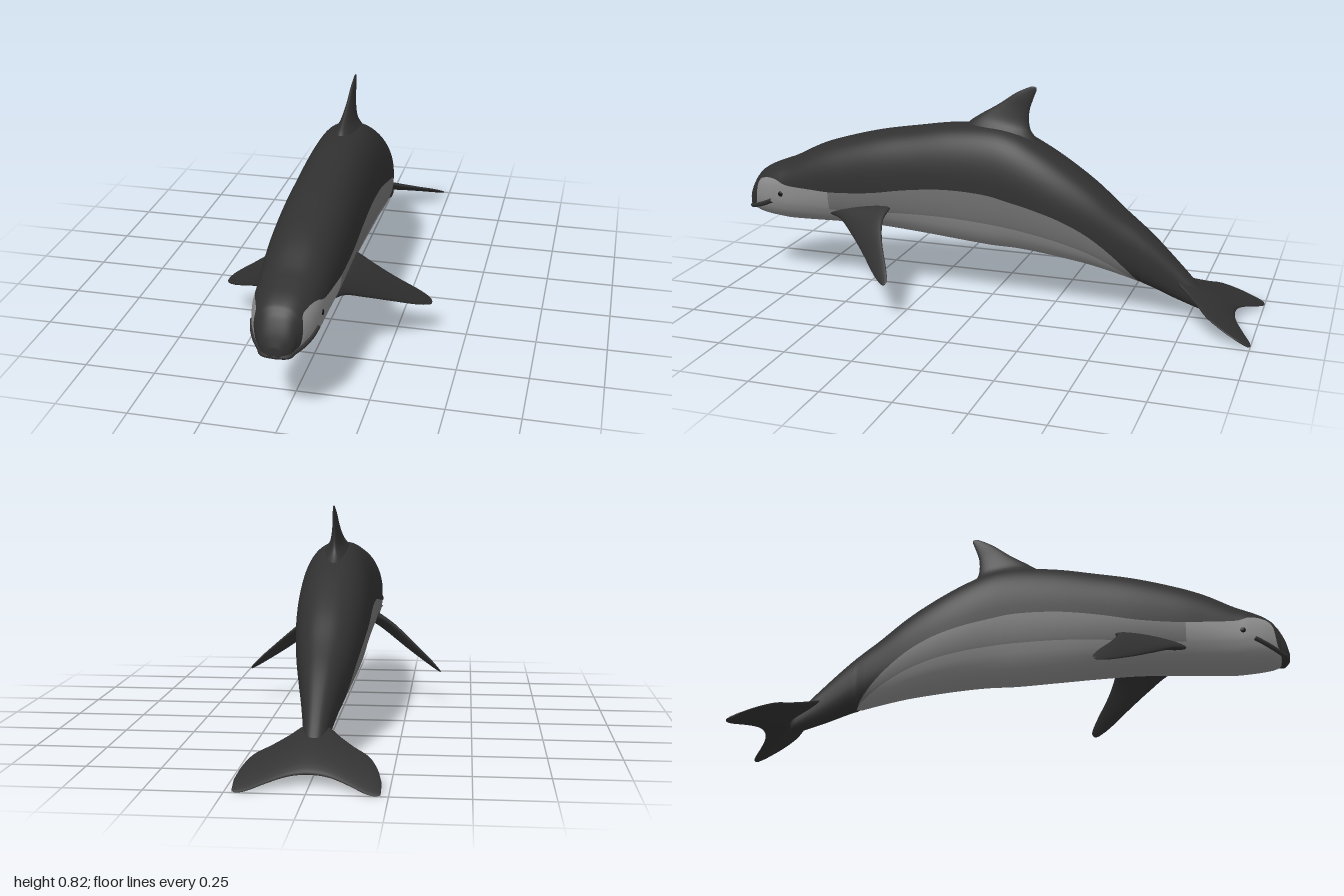
import * as THREE from 'three';
import { mergeVertices } from 'three/addons/utils/BufferGeometryUtils.js';

const V = (x, y, z) => new THREE.Vector3(x, y, z);
const spline = (pts) => new THREE.CatmullRomCurve3(pts, false, 'catmullrom');

// Body stations: z, top, bottom, half width, height of the colour line
const STATIONS = [
  [1, .31, .275, .02, 0], [.985, .355, .265, .05, 0], [.965, .395, .26, .065, .265],
  [.95, .415, .255, .075, .31], [.935, .43, .252, .085, .39], [.9, .45, .248, .1, .412],
  [.85, .47, .243, .11, .412], [.8, .49, .24, .114, .395], [.7, .54, .242, .121, .39],
  [.6, .575, .245, .127, .388], [.45, .615, .245, .13, .4], [.3, .642, .235, .13, .425],
  [.15, .665, .222, .13, .44], [0, .67, .21, .13, .435], [-.1, .652, .208, .13, .415],
  [-.2, .605, .2, .128, .39], [-.3, .545, .187, .12, .355], [-.4, .475, .17, .105, .3],
  [-.5, .39, .145, .085, .215], [-.6, .31, .115, .064, .1], [-.7, .215, .075, .045, 0],
  [-.8, .11, .042, .03, 0], [-.82, .08, .05, .015, 0],
];
const heights = spline(STATIONS.map(([z, top, bot]) => V(z, top, bot)));
const widths = spline(STATIONS.map(([z, , , w, line]) => V(z, w, line)));
const POWER = 2.4; // fullness of the oval section

function station(t) {
  const a = heights.getPoint(t), b = widths.getPoint(t);
  return { z: a.x, mid: (a.y + a.z) / 2, h: (a.y - a.z) / 2, bot: a.z, w: b.y, line: b.z };
}

// Angle down from the top of a section at which the skin reaches height y
function angleAt(s, y) {
  const c = THREE.MathUtils.clamp((y - s.mid) / s.h, -1, 1);
  return Math.acos(Math.sign(c) * Math.abs(c) ** (POWER / 2));
}

function skin(s, a) {
  const c = Math.cos(a);
  return V(s.w * Math.max(0, Math.sin(a)) ** (2 / POWER),
    s.mid + s.h * Math.sign(c) * Math.abs(c) ** (2 / POWER), s.z);
}

// Point on the left skin at a given z and y
function skinPoint(z, y) {
  let lo = 0, hi = 1;
  for (let i = 0; i < 30; i++) {
    const m = (lo + hi) / 2;
    if (station(m).z > z) lo = m; else hi = m;
  }
  const s = station(lo);
  return skin(s, angleAt(s, y));
}

// Closed loft through rings of points; pick(row, column) chooses the material
function loft(rings, pick = () => 0) {
  const n = rings[0].length, pts = rings.flat(), bands = [[], [], []];
  const at = (i, j) => i * n + (j % n);
  for (let i = 0; i < rings.length - 1; i++) {
    for (let j = 0; j < n; j++) {
      const a = at(i, j), b = at(i, j + 1), c = at(i + 1, j), d = at(i + 1, j + 1);
      bands[pick(i, j)].push(a, c, b, b, c, d);
    }
  }
  for (const i of [0, rings.length - 1]) {
    const centre = rings[i].reduce((s, p) => s.add(p), V(0, 0, 0)).divideScalar(n);
    const k = pts.push(centre) - 1;
    for (let j = 0; j < n; j++) {
      bands[0].push(k, ...(i ? [at(i, j + 1), at(i, j)] : [at(i, j), at(i, j + 1)]));
    }
  }
  // Turn all faces outward
  let volume = 0;
  const all = bands.flat();
  for (let i = 0; i < all.length; i += 3) {
    volume += pts[all[i]].dot(pts[all[i + 1]].clone().cross(pts[all[i + 2]]));
  }
  if (volume < 0) bands.forEach((b) => b.reverse());
  let geo = new THREE.BufferGeometry().setFromPoints(pts);
  geo.setIndex(bands.flat());
  geo = mergeVertices(geo, 1e-5);
  let start = 0;
  geo.clearGroups();
  bands.forEach((b, m) => {
    if (b.length) geo.addGroup(start, b.length, m);
    start += b.length;
  });
  geo.computeVertexNormals();
  return geo;
}

// Fin with oval sections; each section is [leading edge, trailing edge, half thickness]
function fin(sections, thickDir, rows = 28, cols = 24) {
  const lead = spline(sections.map((s) => V(...s[0])));
  const trail = spline(sections.map((s) => V(...s[1])));
  const thick = spline(sections.map((s) => V(s[2], 0, 0)));
  const rings = [];
  for (let i = 0; i <= rows; i++) {
    const a = lead.getPoint(i / rows), b = trail.getPoint(i / rows), th = thick.getPoint(i / rows).x;
    rings.push(Array.from({ length: cols }, (_, j) => {
      const q = (j / cols) * Math.PI * 2;
      return a.clone().lerp(b, (1 - Math.cos(q)) / 2).addScaledVector(thickDir, Math.sin(q) * th);
    }));
  }
  return loft(rings);
}

export function createModel() {
  const model = new THREE.Group();
  model.name = 'porpoise';
  const material = (name, color) => {
    const m = new THREE.MeshStandardMaterial({ color });
    m.name = name;
    return m;
  };
  const dark = material('dark back', 0x303030);
  const flank = material('grey flank', 0x707070);
  const pale = material('pale belly', 0x8c8c8c);
  const black = material('eye black', 0x101010);
  const add = (name, geo, mat) => {
    const mesh = new THREE.Mesh(geo, mat);
    mesh.name = name;
    model.add(mesh);
    return mesh;
  };

  // Body: dark back, grey flank and pale belly divided along fixed columns
  const ROWS = 132, BACK = 16, SIDE = 6, HALF = 28, rings = [];
  for (let i = 0; i <= ROWS; i++) {
    const s = station(i / ROWS);
    const line = Math.max(s.line, s.bot);
    const a1 = angleAt(s, line), a2 = angleAt(s, (line + s.bot) / 2);
    const ring = [];
    for (let j = 0; j < HALF * 2; j++) {
      const k = j <= HALF ? j : HALF * 2 - j;
      const a = k <= BACK ? a1 * k / BACK
        : k <= BACK + SIDE ? a1 + (a2 - a1) * (k - BACK) / SIDE
          : a2 + (Math.PI - a2) * (k - BACK - SIDE) / (HALF - BACK - SIDE);
      const p = skin(s, a);
      if (j > HALF) p.x *= -1;
      ring.push(p);
    }
    rings.push(ring);
  }
  const bodyColour = (i, j) => {
    const k = j < HALF ? j : HALF * 2 - 1 - j;
    if (k < BACK) return 0;
    return k < BACK + SIDE && rings[i][0].z < .62 ? 1 : 2;
  };
  add('body', loft(rings, bodyColour), [dark, flank, pale]);

  // Dorsal fin, flaring into the back
  add('dorsalFin', fin([
    [[0, .59, .16], [0, .56, -.24], .085], [[0, .665, .1], [0, .63, -.165], .05],
    [[0, .7, .055], [0, .67, -.142], .025], [[0, .745, -.02], [0, .725, -.14], .013],
    [[0, .79, -.085], [0, .77, -.153], .008], [[0, .815, -.135], [0, .805, -.166], .004],
    [[0, .82, -.155], [0, .815, -.166], .002],
  ], V(1, 0, 0)), dark);

  // Flippers, swept back and down
  for (const side of [1, -1]) {
    add(side > 0 ? 'leftFlipper' : 'rightFlipper', fin([
      [[.09, .3, .65], [.09, .355, .36], .024], [[.125, .288, .57], [.125, .345, .365], .022],
      [[.18, .25, .5], [.18, .315, .37], .017], [[.25, .205, .425], [.25, .26, .345], .012],
      [[.33, .16, .35], [.33, .192, .298], .008], [[.368, .141, .308], [.368, .155, .278], .004],
      [[.378, .138, .293], [.378, .142, .283], .002],
    ].map(([a, b, t]) => [[a[0] * side, a[1], a[2]], [b[0] * side, b[1], b[2]], t]),
    V(.5 * side, .85, 0)), dark);
  }

  // Tail flukes: half span x, leading z, trailing z, half thickness
  const flukeHalf = [
    [.04, -.71, -.922, .016], [.08, -.752, -.935, .013], [.13, -.797, -.962, .01],
    [.18, -.837, -.992, .008], [.21, -.89, -1, .006], [.226, -.945, -.995, .003],
  ];
  const flukeY = (z) => .14 + (z + .72) * .48;
  const flukeSection = (side) => ([x, a, b, t]) => [[x * side, flukeY(a), a], [x * side, flukeY(b), b], t];
  add('tailFlukes', fin([
    ...flukeHalf.map(flukeSection(-1)).reverse(),
    flukeSection(1)([0, -.69, -.918, .018]),
    ...flukeHalf.map(flukeSection(1)),
  ], V(0, 1, 0), 48), dark);

  // Mouth line wrapping around the snout
  const lip = [[.865, .328], [.9, .312], [.935, .297], [.965, .286], [.985, .28]].map(([z, y]) => skinPoint(z, y));
  const mirrored = lip.map((p) => V(-p.x, p.y, p.z)).reverse();
  add('mouth', new THREE.TubeGeometry(spline([...lip, V(0, .28, .992), ...mirrored]), 60, .009, 8), dark);

  // Eyes
  for (const side of [1, -1]) {
    const eye = add(side > 0 ? 'leftEye' : 'rightEye', new THREE.SphereGeometry(.01, 16, 12), black);
    eye.position.copy(skinPoint(.825, .358));
    eye.position.x *= side;
    eye.scale.x = .4;
  }
  return model;
}
